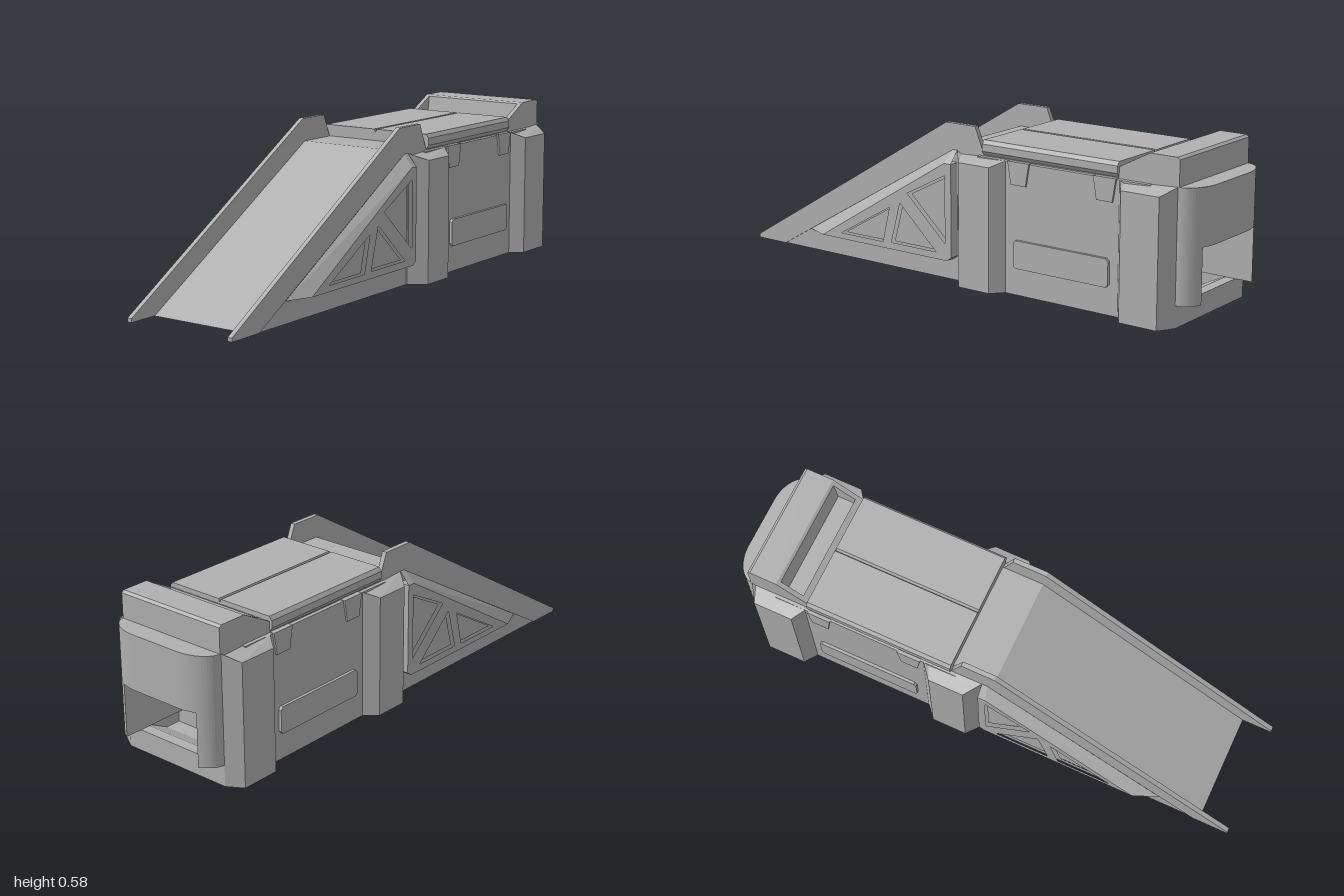
import * as THREE from 'three';

export function createModel() {
  const model = new THREE.Group();
  const grey = new THREE.MeshStandardMaterial({ color: 0xb0b0b0 });
  grey.name = 'plain grey';
  const greyTwoSided = new THREE.MeshStandardMaterial({ color: 0xb0b0b0, side: THREE.DoubleSide });
  greyTwoSided.name = 'plain grey thin';

  const add = (name, geometry, material = grey) => {
    const mesh = new THREE.Mesh(geometry, material);
    mesh.name = name;
    model.add(mesh);
    return mesh;
  };
  const makeShape = (pts) => new THREE.Shape(pts.map(([a, b]) => new THREE.Vector2(a, b)));
  const extrude = (shape, depth) => new THREE.ExtrudeGeometry(shape, { depth, bevelEnabled: false });

  // Outline in [z, y], extruded across x
  const sideProfile = (pts, x0, x1, holes = []) => {
    const flip = (list) => list.map(([z, y]) => [-z, y]);
    const shape = makeShape(flip(pts));
    shape.holes = holes.map((h) => makeShape(flip(h)));
    return extrude(shape, x1 - x0).rotateY(Math.PI / 2).translate(x0, 0, 0);
  };
  // Same, placed on one side (s = 1 or -1)
  const sidePart = (s, pts, x0, x1, holes) =>
    s > 0 ? sideProfile(pts, x0, x1, holes) : sideProfile(pts, -x1, -x0, holes);
  // Outline in [x, z], extruded up y
  const plan = (pts, y0, y1) =>
    extrude(makeShape(pts.map(([x, z]) => [x, -z])), y1 - y0).rotateX(-Math.PI / 2).translate(0, y0, 0);
  // Slope the top down towards the outside
  const slopeTop = (geometry) => {
    const p = geometry.attributes.position;
    for (let i = 0; i < p.count; i++) {
      if (p.getY(i) > 0.4) p.setY(i, 0.485 - Math.max(0, Math.abs(p.getX(i)) - 0.226) * 0.46);
    }
    geometry.computeVertexNormals();
    return geometry;
  };
  const scaled = (pts, k) => {
    const c = [0, 1].map((i) => pts.reduce((sum, p) => sum + p[i], 0) / pts.length);
    return pts.map((p) => p.map((v, i) => c[i] + (v - c[i]) * k));
  };

  // Ramp and landing
  add('rampDeck', sideProfile([[0.885, 0], [0.04, 0.497], [-0.12, 0.497], [-0.12, 0]], -0.208, 0.208));

  // Main hall with flat top
  add('mainBody', plan([[-0.226, 0], [0.226, 0], [0.226, -0.72], [-0.226, -0.72]], 0, 0.485));

  // Roof doors with a centre groove
  const lid = makeShape([[-0.226, 0.485], [0.226, 0.485], [0.237, 0.5], [0.237, 0.526], [0.226, 0.54],
    [0.006, 0.54], [0, 0.528], [-0.006, 0.54], [-0.226, 0.54], [-0.237, 0.526], [-0.237, 0.5]]);
  add('roofDoors', extrude(lid, 0.57).translate(0, 0, -0.69));

  // Rounded rear end over a tunnel mouth
  const curve = [];
  for (let i = 0; i <= 16; i++) {
    const a = (i / 16) * Math.PI / 2;
    curve.push([0.1 + 0.126 * Math.cos(a), -0.92 - 0.08 * Math.sin(a)]);
  }
  const mirrored = curve.map(([x, z]) => [-x, z]).reverse();
  add('rearHood', plan([[0.226, -0.72], ...curve, ...mirrored, [-0.226, -0.72]], 0.28, 0.485));
  add('rearSill', sideProfile([[-0.72, 0], [-0.72, 0.03], [-0.78, 0.03], [-0.88, 0.08], [-0.92, 0.08], [-0.92, 0]],
    -0.226, 0.226));

  // Raised rear cap with a recess in its sloping front
  const capSide = [[-0.69, 0.48], [-0.69, 0.522], [-0.81, 0.585], [-0.915, 0.585], [-0.925, 0.577], [-0.925, 0.48]];
  add('rearCapCore', sideProfile([[-0.785, 0.48], [-0.8, 0.579], [-0.81, 0.585], [-0.915, 0.585],
    [-0.925, 0.577], [-0.925, 0.48]], -0.208, 0.208));
  add('rearCapLip', sideProfile([[-0.69, 0.48], [-0.69, 0.522], [-0.715, 0.535], [-0.725, 0.498],
    [-0.79, 0.498], [-0.79, 0.48]], -0.208, 0.208));

  const trussHoles = [
    [[0.51, 0.108], [0.3, 0.228], [0.33, 0.108]],
    [[0.272, 0.112], [0.234, 0.25], [0.085, 0.112]],
    [[0.19, 0.302], [0.035, 0.382], [0.035, 0.16]],
  ];

  for (const s of [1, -1]) {
    const side = s > 0 ? 'left' : 'right';
    const m = (pts) => pts.map(([x, z]) => [s * x, z]);

    // Ramp rail and the wall below it
    add(side + 'Rail', sidePart(s, [[1, 0], [1, 0.014], [0.05, 0.582], [-0.08, 0.582], [-0.12, 0.485],
      [0.02, 0.485], [0.86, 0]], 0.208, 0.226));
    add(side + 'RampWall', sidePart(s, [[0.86, 0], [0.02, 0.485], [0, 0.485], [0, 0]], 0.2, 0.222));

    // Truss panel in two steps, giving the openings a rim
    const outline = [[0.625, 0.08], [0.03, 0.44], [0, 0.44], [0, 0.095], [0.02, 0.08]];
    add(side + 'TrussInner', sidePart(s, outline, 0.215, 0.253, trussHoles));
    add(side + 'TrussOuter', sidePart(s, outline, 0.253, 0.265, trussHoles.map((h) => scaled(h, 1.13))));

    // Sloping edge from the truss face to the rail
    const v = {
      a: [0.226, 0.08, 0.72], b: [0.226, 0.485, 0.02], c: [0.226, 0.485, 0],
      d: [0.265, 0.08, 0.625], e: [0.265, 0.44, 0.03], f: [0.265, 0.44, 0], g: [0.226, 0.08, 0.625],
    };
    const tris = [...'adebaecbeefcagd'].flatMap((k) => [s * v[k][0], v[k][1], v[k][2]]);
    const edge = new THREE.BufferGeometry();
    edge.setAttribute('position', new THREE.Float32BufferAttribute(tris, 3));
    edge.computeVertexNormals();
    add(side + 'TrussEdge', edge, greyTwoSided);

    // Hall side wall
    add(side + 'SideWall', slopeTop(plan(m([[0.2, -0.1], [0.238, -0.1], [0.238, -0.82], [0.2, -0.82]]), 0, 0.485)));

    // Buttresses
    const buttress = (name, z0, z1, z2, z3, xa, xb) => add(side + name, slopeTop(plan(
      m([[0.19, z0], [xa, z0], [0.285, z1], [0.285, z2], [xb, z3], [0.19, z3]]), 0, 0.485)));
    buttress('FrontButtress', 0, -0.05, -0.185, -0.225, 0.226, 0.238);
    buttress('RearButtress', -0.7, -0.735, -0.885, -0.92, 0.238, 0.226);

    // Raised side plate with clipped corners
    add(side + 'SidePlate', sidePart(s, [[-0.265, 0.11], [-0.275, 0.1], [-0.655, 0.1], [-0.665, 0.11],
      [-0.665, 0.192], [-0.655, 0.202], [-0.275, 0.202], [-0.265, 0.192]], 0.23, 0.249));

    // Tabs under the roof doors
    for (const z of [-0.283, -0.643]) {
      add(side + 'RoofTab', sidePart(s, [[z + 0.046, 0.483], [z + 0.032, 0.4], [z - 0.032, 0.4], [z - 0.046, 0.483]],
        0.22, 0.245));
    }

    // Rear cap cheek and tunnel post
    add(side + 'RearCapCheek', sidePart(s, capSide, 0.208, 0.226));
    const postCurve = curve.filter(([x]) => x > 0.17);
    add(side + 'TunnelPost', plan(m([[0.17, -0.72], [0.226, -0.72], ...postCurve, [0.17, -0.986]]), 0.08, 0.28));
  }
  return model;
}
